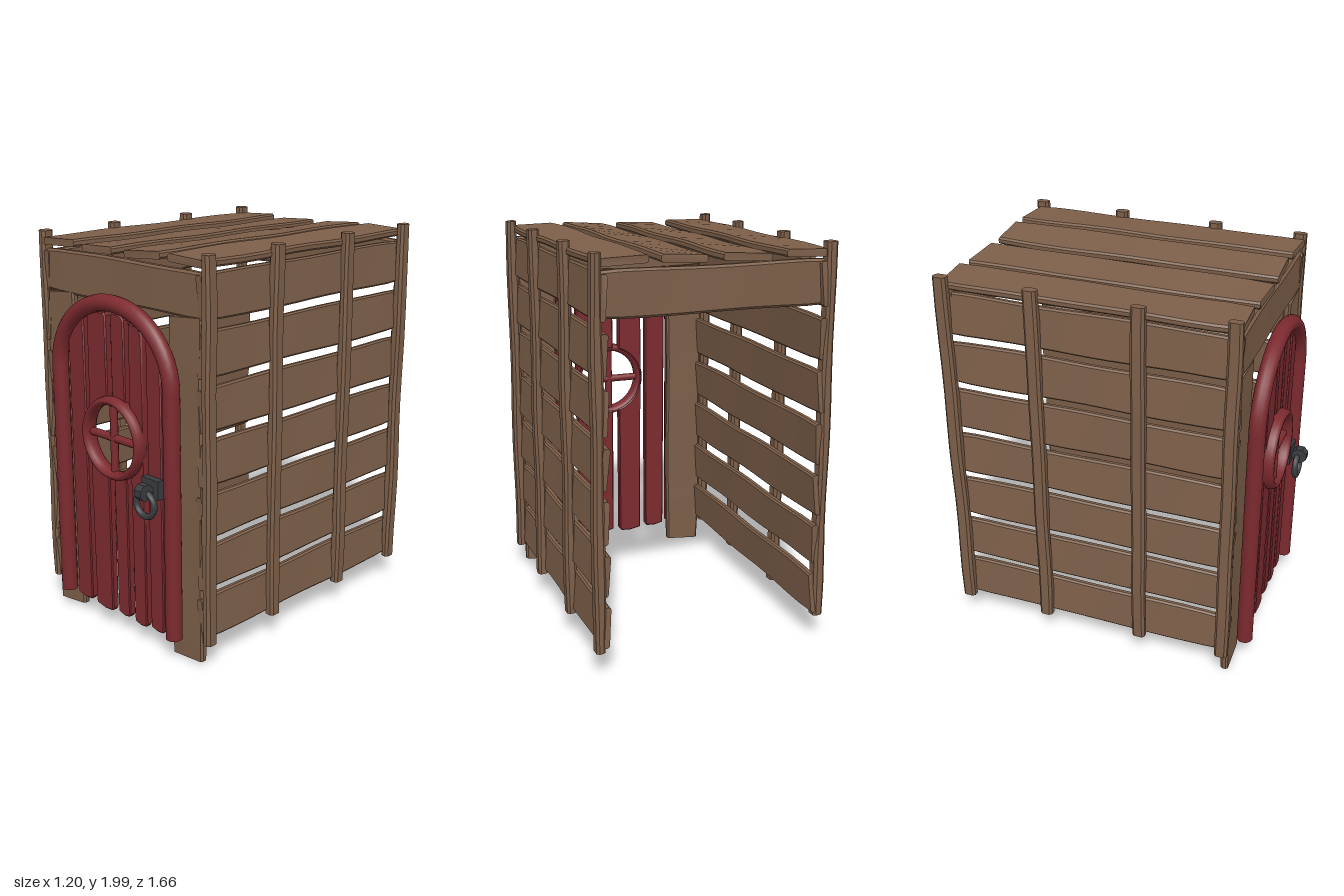
import * as THREE from 'three';
import { toCreasedNormals } from 'three/addons/utils/BufferGeometryUtils.js';

const wood = new THREE.MeshStandardMaterial({ color: 0x7d5f49 });
wood.name = 'brown wood';
const red = new THREE.MeshStandardMaterial({ color: 0x7c2a2f });
red.name = 'red paint';
const iron = new THREE.MeshStandardMaterial({ color: 0x3a3d40 });
iron.name = 'dark iron';

// Hand-hewn board along z: chamfered section with wavy edges and ragged ends.
function board(w, t, len, seed, wave = 0.005, ragged = 0.007) {
  const a = w / 2, b = t / 2, c = Math.min(w, t) * 0.25;
  const shape = new THREE.Shape([
    [-a + c, -b], [a - c, -b], [a, -b + c], [a, b - c],
    [a - c, b], [-a + c, b], [-a, b - c], [-a, -b + c],
  ].map(([x, y]) => new THREE.Vector2(x, y)));
  const geo = new THREE.ExtrudeGeometry(shape, { depth: len, steps: 12, bevelEnabled: false });
  geo.translate(0, 0, -len / 2);
  const p = geo.attributes.position;
  for (let i = 0; i < p.count; i++) {
    const x = p.getX(i), y = p.getY(i), z = p.getZ(i);
    const end = Math.abs(z) > len / 2 - 0.001;
    const k = end ? 0.96 : 1;
    p.setXYZ(i,
      x * k + wave * Math.sin(z * 7 + seed * 2.3 + Math.sign(x)),
      y * k + wave * 0.6 * Math.sin(z * 9 + seed * 1.7 + x * 12),
      z + (end ? ragged * Math.sin(x * 45 + seed * 3) : 0));
  }
  return toCreasedNormals(geo, 0.6);
}

export function createModel() {
  const model = new THREE.Group();

  function add(name, geo, mat, x = 0, y = 0, z = 0, parent = model) {
    const mesh = new THREE.Mesh(geo, mat);
    mesh.name = name;
    mesh.position.set(x, y, z);
    parent.add(mesh);
    return mesh;
  }

  // Side walls: seven lapped boards and four outer posts each
  for (const side of [-1, 1]) {
    const wall = new THREE.Group();
    wall.name = side > 0 ? 'leftWall' : 'rightWall';
    model.add(wall);
    for (let i = 0; i < 7; i++) {
      const geo = board(0.213, 0.035, 1.49, i + side, 0.003).rotateZ(Math.PI / 2);
      const m = add('wallBoard', geo, wood, side * 0.543, 0.255 + i * 0.2585, -0.073, wall);
      m.rotation.z = side * 0.07;
    }
    [0.645, 0.195, -0.33, -0.793].forEach((z, i) => {
      const geo = board(0.052, 0.07, 1.87, i * 2 + side, 0.003, 0.002).rotateX(-Math.PI / 2);
      add('wallPost', geo, wood, side * 0.573, 1.065, z, wall);
    });
  }

  // Roof boards: x, y, width, tilt
  [[-0.45, 1.953, 0.24, 0.02], [-0.15, 1.948, 0.24, 0.06],
    [0.16, 1.957, 0.24, 0.08], [0.445, 1.96, 0.24, -0.05]].forEach(([x, y, w, tilt], i) => {
    add('roofBoard', board(w, 0.038, 1.475, i + 4, 0.004), wood, x, y, -0.07).rotation.z = tilt;
  });

  // Front and back headers
  for (const z of [0.645, -0.775]) {
    const geo = board(0.215, 0.045, 1.1, z * 5, 0.003).rotateZ(Math.PI / 2).rotateY(Math.PI / 2);
    add(z > 0 ? 'frontHeader' : 'backHeader', geo, wood, 0, 1.813, z);
  }

  // Upright boards beside the door
  for (const side of [-1, 1]) {
    const geo = board(0.21, 0.04, 1.69, side + 2, 0.004, 0.01).rotateX(-Math.PI / 2);
    add('frontBoard', geo, wood, side * 0.443, 0.865, 0.652);
  }

  const door = new THREE.Group();
  door.name = 'door';
  model.add(door);

  // Door boards, each cut around the round window
  const cx = 0.005, cy = 1.055, cut = 0.19;
  const rim = (x) => Math.sqrt(Math.max(0, cut * cut - (x - cx) ** 2));
  const doorPiece = (points) => {
    const geo = new THREE.ExtrudeGeometry(new THREE.Shape(points), {
      depth: 0.028, bevelThickness: 0.006, bevelSize: 0.006, bevelOffset: -0.006, bevelSegments: 1,
    });
    add('doorBoard', toCreasedNormals(geo, 0.6), red, 0, 0, 0.684, door);
  };
  // left x, right x, bottom y, top y at each edge
  [[-0.335, -0.215, 0.11, 1.54, 1.64], [-0.187, -0.05, 0.1, 1.645, 1.665],
    [-0.015, 0.08, 0.11, 1.67, 1.66], [0.11, 0.205, 0.1, 1.64, 1.615],
    [0.23, 0.33, 0.11, 1.61, 1.53]].forEach(([x0, x1, y0, tl, tr]) => {
    const V = (x, y) => new THREE.Vector2(x, y);
    const mid = (x0 + x1) / 2;
    const foot = [V(x0 + 0.006, y0 + 0.012), V(mid, y0), V(x1 - 0.012, y0 + 0.004), V(x1, y0 + 0.02)];
    const head = [V(x1, tr - 0.015), V(x1 - 0.012, tr), V(mid, (tl + tr) / 2 + 0.008), V(x0 + 0.01, tl), V(x0, tl - 0.015)];
    if (rim(x0) + rim(x1) === 0) {
      doorPiece([...foot, ...head]);
      return;
    }
    const lower = [], upper = [];
    for (let i = 0; i <= 8; i++) {
      const x = x0 + (x1 - x0) * i / 8;
      const r = Math.max(rim(x), 0.001);
      lower.unshift(V(x, cy - r));
      upper.push(V(x, cy + r));
    }
    doorPiece([...foot, ...lower]);
    doorPiece([...upper, ...head]);
  });

  // Arched door frame
  class ArchCurve extends THREE.Curve {
    getPoint(t, target = new THREE.Vector3()) {
      const leg = 0.32;
      if (t < leg) return target.set(-0.402, 0.125 + 1.24 * t / leg, 0);
      if (t > 1 - leg) return target.set(0.402, 0.125 + 1.24 * (1 - t) / leg, 0);
      const a = Math.PI * (1 - (t - leg) / (1 - 2 * leg));
      return target.set(0.402 * Math.cos(a), 1.365 + 0.353 * Math.sin(a), 0);
    }
  }
  add('doorFrame', new THREE.TubeGeometry(new ArchCurve(), 80, 0.042, 12), red, 0.003, 0, 0.72, door);
  for (const x of [-0.402, 0.402]) {
    const cap = new THREE.CircleGeometry(0.042, 12).rotateX(Math.PI / 2);
    add('doorFrameFoot', cap, red, x + 0.003, 0.125, 0.72, door);
  }

  // Round window with crossed bars
  add('windowRing', new THREE.TorusGeometry(0.189, 0.022, 10, 40), red, cx, cy, 0.725, door).scale.z = 1.9;
  const bar = new THREE.CylinderGeometry(0.02, 0.02, 0.37, 10);
  add('windowBarUpright', bar, red, cx - 0.005, cy, 0.72, door);
  add('windowBarAcross', bar, red, cx, cy, 0.72, door).rotation.z = Math.PI / 2;

  // Iron knocker: plate, eight-sided loop and hanging ring
  const knocker = new THREE.Group();
  knocker.name = 'knocker';
  door.add(knocker);
  add('knockerPlate', new THREE.BoxGeometry(0.115, 0.095, 0.035), iron, 0.286, 0.878, 0.737, knocker);
  const loop = new THREE.CylinderGeometry(0.042, 0.042, 0.046, 8);
  loop.rotateY(Math.PI / 8).rotateZ(Math.PI / 2);
  add('knockerLoop', toCreasedNormals(loop, 0.6), iron, 0.287, 0.872, 0.795, knocker);
  add('knockerRing', new THREE.TorusGeometry(0.061, 0.016, 8, 24), iron, 0.287, 0.807, 0.785, knocker);

  return model;
}
